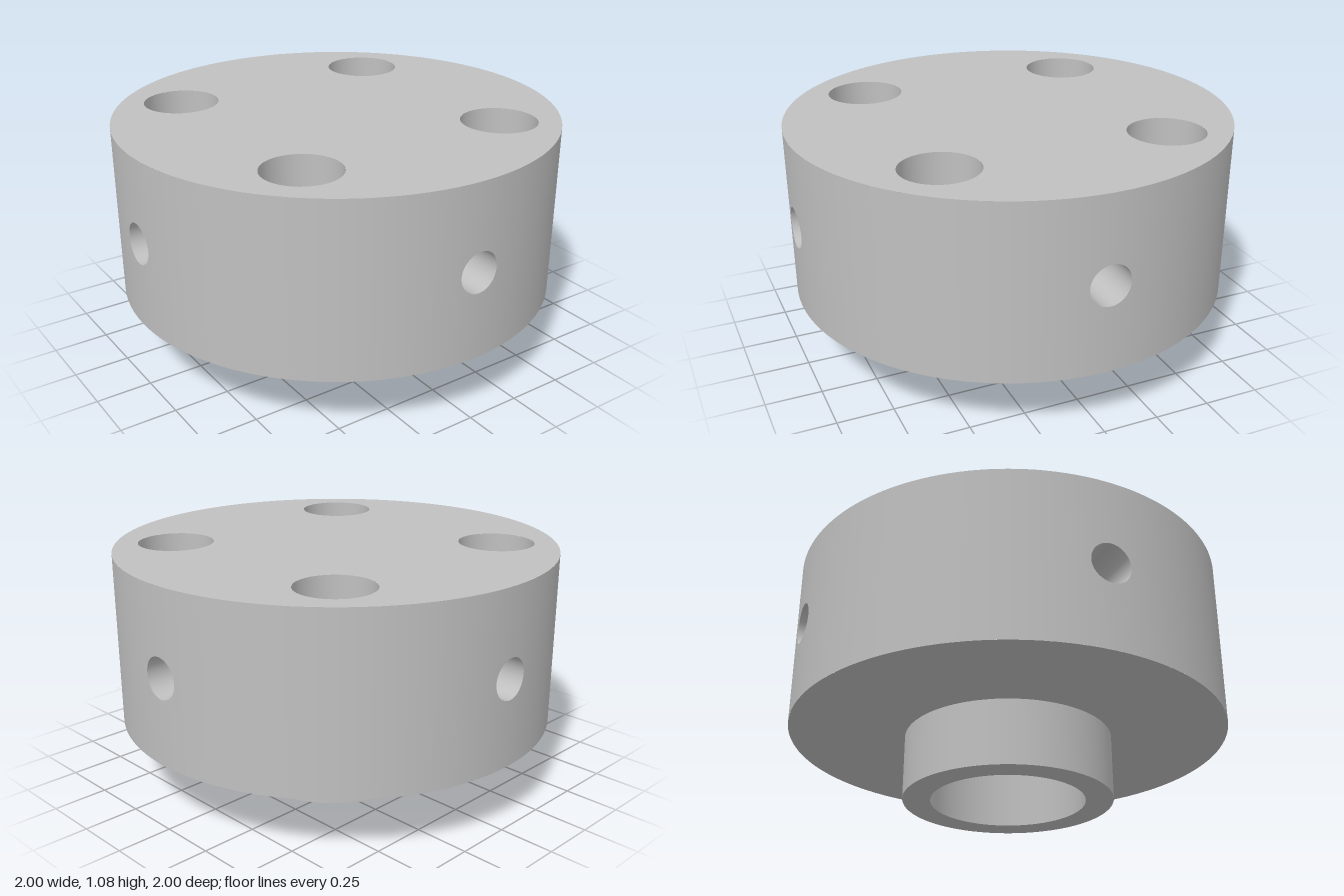
import * as THREE from 'three';

const R = 1, BOTTOM = 0.295, TOP = 1.08;
const PORT_R = 0.092, PORT_DEPTH = 0.4, PATCH = 0.15;
const MID = (BOTTOM + TOP) / 2, HALF = (TOP - BOTTOM) / 2;

export function createModel() {
  const steel = new THREE.MeshStandardMaterial({ color: 0xc0c0c0 });
  steel.name = 'light grey metal';
  const model = new THREE.Group();
  model.name = 'flangedHub';

  const add = (geometry, name, parent = model) => {
    const mesh = new THREE.Mesh(geometry, steel);
    mesh.name = name;
    parent.add(mesh);
    return mesh;
  };

  // Revolve each profile segment on its own so that corners stay sharp
  const revolve = (points, name, parent = model, segments = 128) => {
    const group = new THREE.Group();
    group.name = name;
    parent.add(group);
    for (let i = 0; i + 1 < points.length; i++) {
      const pair = [points[i], points[i + 1]].map(p => new THREE.Vector2(...p));
      add(new THREE.LatheGeometry(pair, segments), name + 'Surface', group);
    }
    return group;
  };

  // Blind bore, boss and underside of the body
  revolve([[0, 0.5], [0.35, 0.5], [0.35, 0], [0.475, 0], [0.475, BOTTOM], [R, BOTTOM]], 'bossAndUnderside');

  // Top face with four openings, each lined by a blind pocket
  const face = new THREE.Shape().absarc(0, 0, R, 0, Math.PI * 2);
  for (const x of [-0.515, 0.515]) {
    for (const z of [-0.515, 0.515]) {
      face.holes.push(new THREE.Path().absarc(x, -z, 0.171, 0, Math.PI * 2, true));
      revolve([[0.171, 0], [0.171, -0.4], [0, -0.4]], 'topPocket', model, 64).position.set(x, TOP, z);
    }
  }
  const topFace = add(new THREE.ShapeGeometry(face, 64), 'topFace');
  topFace.rotation.x = -Math.PI / 2;
  topFace.position.y = TOP;

  // Four equal quarters of the side wall, each with a radial port
  const patchGeometry = portPatch();
  const edge = Math.asin(PATCH);
  const plainWall = new THREE.LatheGeometry(
    [new THREE.Vector2(R, BOTTOM), new THREE.Vector2(R, TOP)], 32, edge, Math.PI / 2 - 2 * edge);
  for (let k = 0; k < 4; k++) {
    const quarter = new THREE.Group();
    quarter.name = 'sideQuarter';
    quarter.rotation.y = k * Math.PI / 2;
    model.add(quarter);
    add(plainWall, 'sideWall', quarter);
    add(patchGeometry, 'portSurround', quarter);

    const port = revolve([[PORT_R, 0], [PORT_R, -PORT_DEPTH], [0, -PORT_DEPTH]], 'sidePort', quarter, 64);
    port.rotation.x = Math.PI / 2;
    port.position.set(0, MID, R);
    // Trim the port's mouth to the curved wall
    const pos = port.children[0].geometry.attributes.position;
    for (let i = 0; i < pos.count; i++) {
      if (pos.getY(i) > -0.01) pos.setY(i, Math.sqrt(R * R - pos.getX(i) ** 2) - R);
    }
  }
  return model;
}

// Curved wall panel running from a round rim out to a rectangular border
function portPatch() {
  const around = 64, rings = 8;
  const positions = [], normals = [], index = [];
  for (let i = 0; i <= around; i++) {
    const a = i / around * Math.PI * 2, c = Math.cos(a), s = Math.sin(a);
    const m = Math.max(Math.abs(c), Math.abs(s));
    for (let j = 0; j <= rings; j++) {
      const t = j / rings;
      const x = THREE.MathUtils.lerp(PORT_R * c, PATCH * c / m, t);
      const y = THREE.MathUtils.lerp(PORT_R * s, HALF * s / m, t);
      const z = Math.sqrt(R * R - x * x);
      positions.push(x, MID + y, z);
      normals.push(x / R, 0, z / R);
      if (i < around && j < rings) {
        const p = i * (rings + 1) + j, q = p + rings + 1;
        index.push(p, p + 1, q + 1, p, q + 1, q);
      }
    }
  }
  const geometry = new THREE.BufferGeometry();
  geometry.setAttribute('position', new THREE.Float32BufferAttribute(positions, 3));
  geometry.setAttribute('normal', new THREE.Float32BufferAttribute(normals, 3));
  geometry.setIndex(index);
  return geometry;
}
